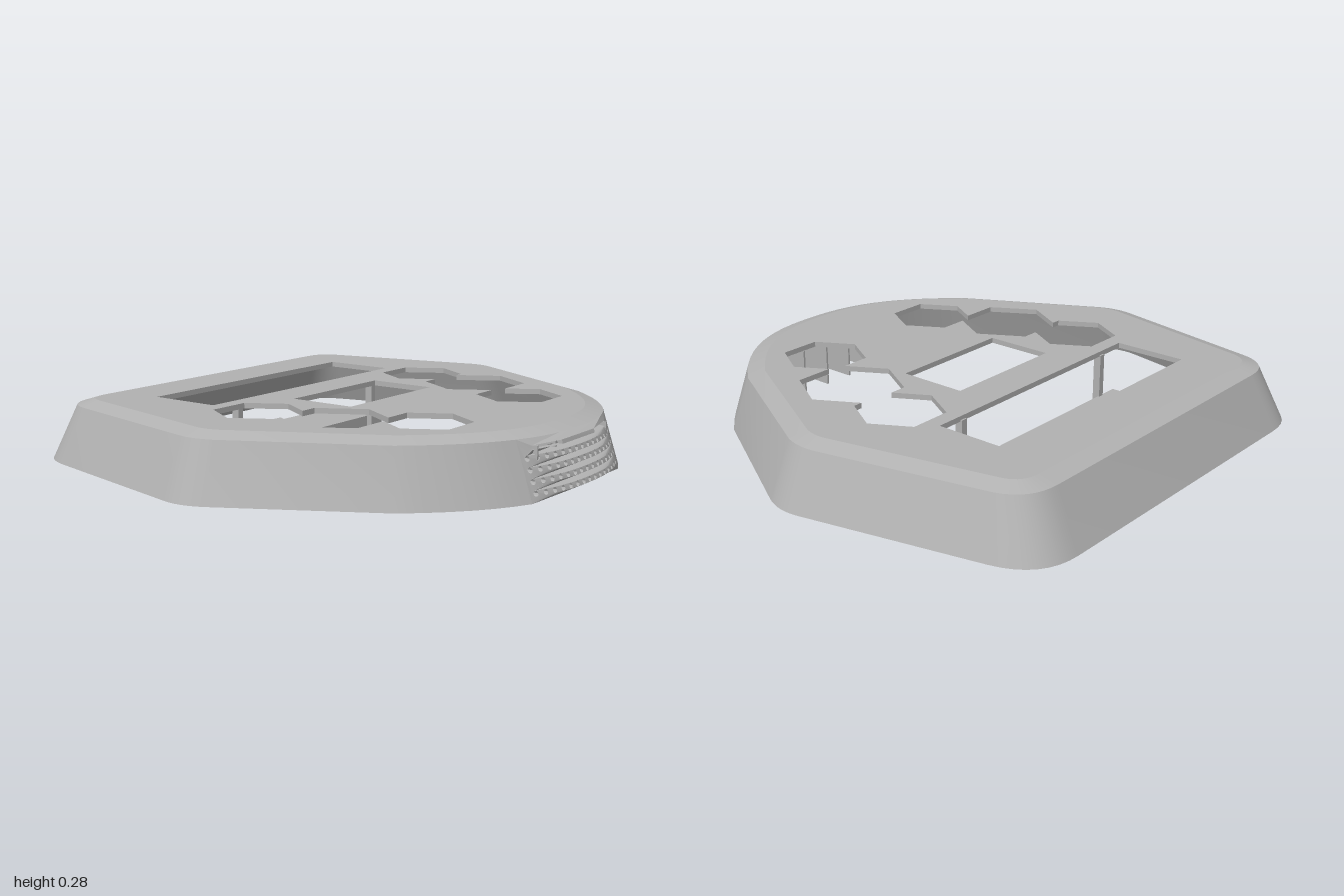
import * as THREE from 'three';
import { toCreasedNormals } from 'three/addons/utils/BufferGeometryUtils.js';

const BASE_Y = 0.06, CREASE_Y = 0.265, TOP_Y = 0.285;
const WALL = 0.02, PANEL_X = 0.31;

// Plan outlines (half, mirrored): rounded corners are [start, control, end]
const BASE = {
  back: [[0.62, -0.948], [0.8, -0.948], [0.842, -0.77]],
  side: [[0.992, -0.1], [1.012, -0.02], [0.972, 0.06]],
  frontX: 0.67, frontZ: 0.6, noseZ: 0.945,
};
const CREASE = {
  back: [[0.6, -0.85], [0.735, -0.85], [0.77, -0.73]],
  side: [[0.91, -0.1], [0.925, -0.03], [0.895, 0.04]],
  frontX: 0.62, frontZ: 0.56, noseZ: 0.885,
};

const frontZ = (o, x) => o.noseZ - (o.noseZ - o.frontZ) * (Math.abs(x) / o.frontX) ** 2.4;

// Closed ring of plan points: back, +x side, front, -x side
function outline(o) {
  const half = [];
  for (const c of [o.back, o.side]) {
    const [a, b, d] = c.map((p) => new THREE.Vector2(...p));
    half.push(...new THREE.QuadraticBezierCurve(a, b, d).getPoints(8));
  }
  for (let i = 0; i < 7; i++) {
    const x = THREE.MathUtils.lerp(o.frontX, PANEL_X, i / 6);
    half.push(new THREE.Vector2(x, frontZ(o, x)));
  }
  const middle = [];
  for (let i = 1; i < 12; i++) {
    const x = PANEL_X * (1 - i / 6);
    middle.push(new THREE.Vector2(x, frontZ(o, x)));
  }
  const mirrored = half.map((p) => new THREE.Vector2(-p.x, p.y)).reverse();
  return [...half, ...middle, ...mirrored];
}

// Move a ring inwards by d
function inset(ring, d) {
  const n = ring.length;
  return ring.map((p, i) => {
    const t = ring[(i + 1) % n].clone().sub(ring[(i + n - 1) % n]).normalize();
    return new THREE.Vector2(p.x - t.y * d, p.y + t.x * d);
  });
}

// Skin between successive rings; skip(level, a, b) leaves openings
function loft(rings, skip) {
  const pos = [];
  for (let j = 0; j + 1 < rings.length; j++) {
    const [lo, hi] = [rings[j], rings[j + 1]];
    const n = lo.pts.length;
    for (let i = 0; i < n; i++) {
      const k = (i + 1) % n;
      if (skip(j, lo.pts[i], lo.pts[k])) continue;
      const v = (r, m) => [r.pts[m].x, r.y, r.pts[m].y];
      const a = v(lo, i), b = v(lo, k), c = v(hi, k), d = v(hi, i);
      pos.push(...a, ...d, ...c, ...a, ...c, ...b);
    }
  }
  const g = new THREE.BufferGeometry();
  g.setAttribute('position', new THREE.Float32BufferAttribute(pos, 3));
  return toCreasedNormals(g, 0.42);
}

const toPath = (pts) => new THREE.Path(pts.map((p) => new THREE.Vector2(p[0], p[1])));
const rect = (x0, x1, y0, y1) => toPath([[x0, y0], [x1, y0], [x1, y1], [x0, y1]]);

// Merged run of three hexagonal button openings
const HEXES = [
  [0.4285, -0.246], [0.5915, -0.246], [0.673, -0.105], [0.5915, 0.036], [0.556, 0.036],
  [0.645, 0.19], [0.5475, 0.359], [0.4, 0.359], [0.467, 0.475], [0.387, 0.614],
  [0.227, 0.614], [0.147, 0.475], [0.227, 0.336], [0.339, 0.336], [0.255, 0.19],
  [0.3525, 0.021], [0.419, 0.021], [0.347, -0.105],
];

// Front wall section: flat sheet with holes, bent onto the wall curve
function grilleGeometry() {
  const edge = [];
  for (let i = 0; i <= 12; i++) edge.push(new THREE.Vector2(PANEL_X * (i / 6 - 1), BASE_Y));
  for (let i = 12; i >= 0; i--) edge.push(new THREE.Vector2(PANEL_X * (i / 6 - 1), CREASE_Y));
  const sheet = new THREE.Shape(edge);
  for (let c = -7; c <= 7; c++) {
    for (let r = 0; r < 4; r++) {
      const hole = new THREE.Path();
      hole.absarc(c * 0.041, 0.09 + r * 0.037, 0.0095, 0, Math.PI * 2);
      sheet.holes.push(hole);
    }
  }
  sheet.holes.push(rect(0.115, 0.258, 0.226, 0.24), rect(-0.258, -0.115, 0.226, 0.24));
  const g = new THREE.ExtrudeGeometry(sheet, { depth: WALL, bevelEnabled: false, curveSegments: 4 });
  const p = g.attributes.position;
  for (let i = 0; i < p.count; i++) {
    const x = p.getX(i), t = (p.getY(i) - BASE_Y) / (CREASE_Y - BASE_Y);
    const z = THREE.MathUtils.lerp(frontZ(BASE, x), frontZ(CREASE, x), t);
    p.setZ(i, z - WALL + p.getZ(i));
  }
  return toCreasedNormals(g, 0.42);
}

export function createModel() {
  const model = new THREE.Group();
  model.name = 'controlPanelCover';
  const grey = new THREE.MeshStandardMaterial({ color: 0xb2b2b2 });
  grey.name = 'plain grey';

  const add = (name, geometry, x = 0, y = 0, z = 0) => {
    const mesh = new THREE.Mesh(geometry, grey);
    mesh.name = name;
    mesh.position.set(x, y, z);
    model.add(mesh);
    return mesh;
  };
  const box = (name, w, h, d, x, y, z) => add(name, new THREE.BoxGeometry(w, h, d), x, y, z);

  // Sloping walls and shallow top bevel, outside then inside
  const base = outline(BASE), crease = outline(CREASE), top = inset(crease, 0.065);
  const inPanel = (a, b) => a.y > 0 && Math.max(Math.abs(a.x), Math.abs(b.x)) < PANEL_X + 0.001;
  add('outerWall', loft([
    { pts: base, y: BASE_Y }, { pts: crease, y: CREASE_Y }, { pts: top, y: TOP_Y },
  ], (j, a, b) => j === 0 && inPanel(a, b)));
  add('innerWall', loft([
    { pts: top, y: TOP_Y - WALL }, { pts: inset(crease, WALL), y: CREASE_Y - WALL },
    { pts: inset(base, WALL), y: BASE_Y }, { pts: base, y: BASE_Y },
  ], (j, a, b) => j > 0 && inPanel(a, b)));

  // Top plate with screen window, centre window and button openings
  const plate = new THREE.Shape(top);
  plate.holes.push(
    rect(-0.53, 0.53, -0.59, -0.305),
    rect(-0.255, 0.25, -0.155, 0.11),
    toPath(HEXES),
    toPath(HEXES.map(([x, z]) => [-x, z])),
  );
  const plateGeometry = new THREE.ExtrudeGeometry(plate, { depth: WALL, bevelEnabled: false });
  plateGeometry.rotateX(Math.PI / 2);
  add('topPlate', plateGeometry, 0, TOP_Y, 0);

  // Perforated front
  add('frontGrille', grilleGeometry());

  // Ribs behind the grille
  for (let i = -2; i <= 2; i++) {
    box('grilleRib', 0.008, 0.175, 0.21, i * 0.1225, 0.1525, 0.765);
  }

  // Hanging tray beneath the screen window, with its posts
  box('tray', 1, 0.1, 0.235, 0, 0.05, -0.4225);
  for (const s of [-1, 1]) box('trayPost', 0.025, 0.25, 0.03, s * 0.41, 0.145, -0.296);

  return model;
}
